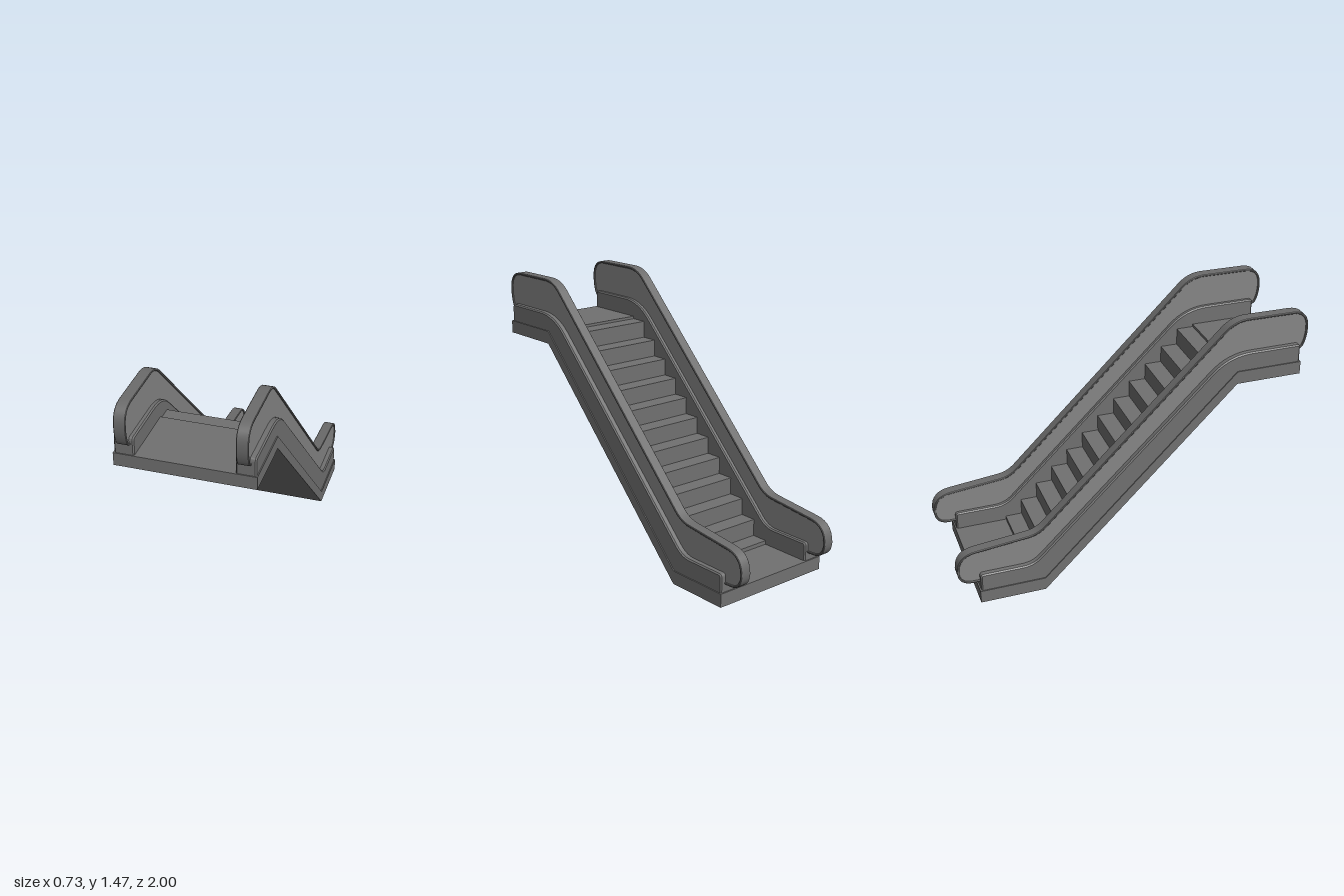
import * as THREE from 'three';
import { toCreasedNormals } from 'three/addons/utils/BufferGeometryUtils.js';

const metal = new THREE.MeshStandardMaterial({ color: 0x717171 });
const panelGrey = new THREE.MeshStandardMaterial({ color: 0x868686 });
const rubber = new THREE.MeshStandardMaterial({ color: 0x6c6c6c });

// Polyline of [z, y, radius] points with its corners rounded off
function rounded(points) {
  const out = [];
  points.forEach(([z, y, r], i) => {
    const p = new THREE.Vector2(z, y);
    if (!r) return out.push(p);
    const toward = ([a, b]) => new THREE.Vector2(a, b).sub(p).setLength(r).add(p);
    const a = toward(points[i - 1]), b = toward(points[i + 1]);
    out.push(...new THREE.QuadraticBezierCurve(a, p, b).getPoints(8));
  });
  return out;
}

// Moves an open polyline sideways, to the left of its direction
function offset(points, d) {
  return points.map((p, i) => {
    const a = points[Math.max(i - 1, 0)], b = points[Math.min(i + 1, points.length - 1)];
    const t = b.clone().sub(a).normalize();
    return new THREE.Vector2(p.x - t.y * d, p.y + t.x * d);
  });
}

// Side profile (z, y) extruded across x, centred on cx
function slab(name, material, points, width, cx, bevel = 0) {
  const depth = width - 2 * bevel;
  const geometry = new THREE.ExtrudeGeometry(new THREE.Shape(points), {
    depth, bevelEnabled: bevel > 0, bevelSize: bevel, bevelThickness: bevel,
    bevelOffset: -bevel, bevelSegments: 1,
  });
  geometry.rotateY(-Math.PI / 2);
  geometry.translate(cx + depth / 2, 0, 0);
  const mesh = new THREE.Mesh(toCreasedNormals(geometry, 0.4), material);
  mesh.name = name;
  return mesh;
}

export function createModel() {
  const group = new THREE.Group();
  group.name = 'escalator';

  const underside = [[0.955, 1.105], [0.585, 1.105], [-0.515, 0], [-0.885, 0]];

  // Landings and steps in one stepped profile
  const stepCount = 12, run = 1.16 / stepCount, rise = 0.0968;
  const stairs = [[-0.885, 0.075], [-0.58, 0.075]];
  for (let i = 0; i < stepCount; i++) {
    const z = -0.58 + i * run, y = 0.097 + i * rise;
    stairs.push([z, y], [z + run, y]);
  }
  stairs.push([0.58, 1.177], [0.955, 1.177]);
  group.add(slab('stepsAndLandings', metal, rounded([...stairs, ...underside]), 0.53, 0));

  // Truss edge under each balustrade
  const truss = rounded([[-0.885, 0.075], [-0.515, 0.075], [0.585, 1.177], [0.955, 1.177], ...underside]);

  // Skirt casing, sunk into the truss
  const skirt = rounded([
    [-0.877, 0.03], [-0.877, 0.178, 0.02], [-0.577, 0.178, 0.06],
    [0.535, 1.277, 0.13], [0.95, 1.277, 0.02], [0.95, 1.14], [0.58, 1.14], [-0.52, 0.03],
  ]);

  // Outer line of the handrail, from the upper end to the lower end
  const rail = rounded([
    [0.94, 1.235], [0.975, 1.24, 0.03], [1, 1.31, 0.04], [1, 1.463, 0.1], [0.57, 1.467, 0.08],
    [-0.54, 0.36, 0.06], [-1, 0.312, 0.11], [-1, 0.118, 0.09], [-0.865, 0.118],
  ]);
  const handrail = [...rail, ...offset(rail, 0.012).reverse()];
  const panel = [...offset(rail, 0.006), ...rounded([[-0.54, 0.12], [0.56, 1.21]])];

  for (const [side, s] of [['left', 1], ['right', -1]]) {
    const balustrade = new THREE.Group();
    balustrade.name = side + 'Balustrade';
    balustrade.add(
      slab('trussEdge', metal, truss, 0.106, s * 0.313),
      slab('skirt', metal, skirt, 0.104, s * 0.308, 0.007),
      slab('panel', panelGrey, panel, 0.048, s * 0.304),
      slab('handrail', rubber, handrail, 0.062, s * 0.304, 0.003),
    );
    group.add(balustrade);
  }
  return group;
}
